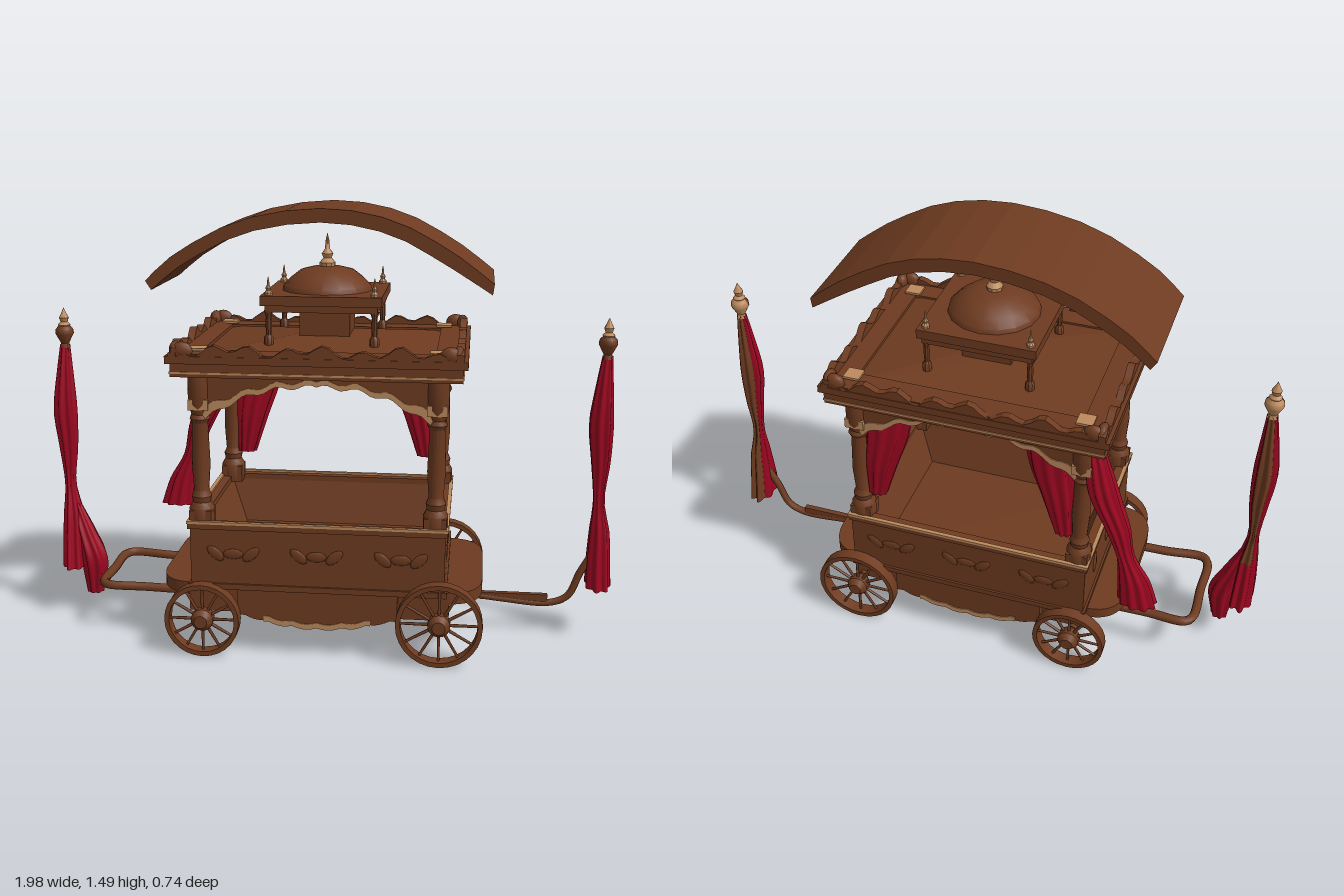
import * as THREE from 'three';
import { toCreasedNormals } from 'three/addons/utils/BufferGeometryUtils.js';

const wood = new THREE.MeshStandardMaterial({ color: 0x6e3b20, side: THREE.DoubleSide });
wood.name = 'brown wood';
const cloth = new THREE.MeshStandardMaterial({ color: 0x9b0620, side: THREE.DoubleSide });
cloth.name = 'red cloth';
const gilt = new THREE.MeshStandardMaterial({ color: 0xbd8a5c });
gilt.name = 'tan trim';

export function createModel() {
  const root = new THREE.Group();
  root.name = 'carriage';

  function add(name, geo, mat, x = 0, y = 0, z = 0, parent = root) {
    const m = new THREE.Mesh(geo, mat);
    m.name = name;
    m.position.set(x, y, z);
    parent.add(m);
    return m;
  }
  const box = (name, w, h, d, x, y, z, mat = wood) => add(name, new THREE.BoxGeometry(w, h, d), mat, x, y, z);
  const lathe = (pts, seg = 16, start = 0, sweep = Math.PI * 2) =>
    toCreasedNormals(new THREE.LatheGeometry(pts.map(p => new THREE.Vector2(...p)), seg, start, sweep), 0.6);
  const tube = (pts, r, seg) => new THREE.TubeGeometry(
    new THREE.CatmullRomCurve3(pts.map(p => new THREE.Vector3(...p))), seg, r, 8);

  // Flat board of width w between two height rules, centred on its thickness
  function board(w, top, bottom, depth, n = 40) {
    const pts = [];
    for (let i = 0; i <= n; i++) { const x = w * (i / n - 0.5); pts.push(new THREE.Vector2(x, bottom(x))); }
    for (let i = n; i >= 0; i--) { const x = w * (i / n - 0.5); pts.push(new THREE.Vector2(x, top(x))); }
    return new THREE.ExtrudeGeometry(new THREE.Shape(pts), { depth, bevelEnabled: false })
      .translate(0, 0, -depth / 2);
  }
  // Hollow rectangular frame, lying flat, w by d outside
  function frame(w, d, t, h) {
    const rect = (C, a, b) => new C([[-a, -b], [a, -b], [a, b], [-a, b]].map(p => new THREE.Vector2(...p)));
    const s = rect(THREE.Shape, w / 2, d / 2);
    s.holes.push(rect(THREE.Path, w / 2 - t, d / 2 - t));
    return new THREE.ExtrudeGeometry(s, { depth: h, bevelEnabled: false }).rotateX(-Math.PI / 2);
  }
  // Four-sided sloping sheet between two rectangles with equal proportions
  function slopedSheet(top, bottom, h, sx, sz, open) {
    const g = new THREE.CylinderGeometry(top * Math.SQRT1_2, bottom * Math.SQRT1_2, h, 4, 1, open)
      .rotateY(Math.PI / 4).toNonIndexed().scale(sx, 1, sz);
    g.computeVertexNormals();
    return g;
  }
  // Pleated cloth through sections [x, y, z, halfWidthX, halfWidthZ]
  function drape(rows, a0 = 0, a1 = Math.PI * 2, pleats = 7) {
    const centre = new THREE.CatmullRomCurve3(rows.map(r => new THREE.Vector3(r[0], r[1], r[2])));
    const size = new THREE.CatmullRomCurve3(rows.map(r => new THREE.Vector3(r[3], r[4], 0)));
    const pos = [], idx = [], N = 20, M = 42;
    for (let i = 0; i <= N; i++) {
      const c = centre.getPoint(i / N), s = size.getPoint(i / N);
      for (let j = 0; j <= M; j++) {
        const a = a0 + (a1 - a0) * j / M, k = 0.88 + 0.12 * Math.cos(a * pleats);
        pos.push(c.x + Math.cos(a) * s.x * k, c.y, c.z + Math.sin(a) * s.y * k);
        const p = i * (M + 1) + j;
        if (i < N && j < M) idx.push(p, p + 1, p + M + 1, p + 1, p + M + 2, p + M + 1);
      }
    }
    const g = new THREE.BufferGeometry();
    g.setAttribute('position', new THREE.Float32BufferAttribute(pos, 3));
    g.setIndex(idx);
    g.computeVertexNormals();
    return g;
  }

  // Tub: open box with sloping lining, rim, floor and shallow carving
  add('tubWalls', frame(0.85, 0.63, 0.02, 0.23), wood, 0, 0.235, 0);
  add('tubLining', slopedSheet(1, 0.84, 0.165, 0.8, 0.58, true), wood, 0, 0.375, 0);
  add('tubRim', frame(0.865, 0.645, 0.04, 0.02), wood, 0, 0.445, 0);
  add('rimTrim', frame(0.87, 0.65, 0.014, 0.009), gilt, 0, 0.463, 0);
  add('tubFoot', frame(0.865, 0.645, 0.03, 0.02), wood, 0, 0.235, 0);
  box('tubFloor', 0.81, 0.05, 0.59, 0, 0.268, 0);
  const leaf = new THREE.SphereGeometry(1, 8, 6);
  for (const s of [-1, 1]) {
    for (const x of [-0.28, 0, 0.28]) for (let k = -1; k <= 1; k++) {
      const m = add('carvedLeaf', leaf, wood, x + k * 0.06, 0.36, s * 0.315);
      m.scale.set(0.035, 0.018, 0.005);
      m.rotation.z = k * 0.7;
    }
    for (const z of [-0.17, 0, 0.17]) {
      add('carvedLeaf', leaf, wood, s * 0.425, 0.36, z).scale.set(0.005, 0.045, 0.025);
    }
  }

  // Chassis: rounded running board above a narrower slab
  const deck = new THREE.Shape();
  deck.moveTo(-0.42, -0.28).lineTo(0.42, -0.28).quadraticCurveTo(0.55, -0.28, 0.55, -0.13)
    .lineTo(0.55, 0.13).quadraticCurveTo(0.55, 0.28, 0.42, 0.28)
    .lineTo(-0.42, 0.28).quadraticCurveTo(-0.55, 0.28, -0.55, 0.13)
    .lineTo(-0.55, -0.13).quadraticCurveTo(-0.55, -0.28, -0.42, -0.28);
  add('runningBoard', new THREE.ExtrudeGeometry(deck, { depth: 0.04, bevelEnabled: false })
    .rotateX(-Math.PI / 2), wood, 0, 0.2, 0);
  box('chassis', 0.88, 0.06, 0.56, 0, 0.17, 0);
  const skirtEdge = x => 0.145 - 0.035 * Math.cos(Math.min(1, Math.abs(x) / 0.25) * Math.PI / 2)
    - 0.008 * Math.abs(Math.sin(x * 38));
  for (const s of [-1, 1]) {
    add('sideSkirt', board(0.54, () => 0.24, skirtEdge, 0.03), wood, 0, 0, s * 0.295);
    add('skirtTrim', board(0.36, x => skirtEdge(x) + 0.016, x => skirtEdge(x) - 0.003, 0.036), gilt, 0, 0, s * 0.295);
  }

  // Wheels, larger at +x, with axles
  for (const [x, r] of [[-0.385, 0.127], [0.41, 0.144]]) {
    add('axle', new THREE.CylinderGeometry(0.016, 0.016, 0.64, 10).rotateX(Math.PI / 2), wood, x, r + 0.005, 0);
    for (const s of [-1, 1]) {
      const wheel = new THREE.Group();
      wheel.name = 'wheel';
      wheel.position.set(x, r + 0.005, s * 0.335);
      root.add(wheel);
      add('rim', lathe([[r - 0.016, -0.022], [r, -0.022], [r, 0.022], [r - 0.016, 0.022], [r - 0.016, -0.022]], 28)
        .rotateX(Math.PI / 2), wood, 0, 0, 0, wheel);
      add('hub', lathe([[0, -0.035], [0.022, -0.035], [0.038, -0.015], [0.038, 0.015], [0.022, 0.035], [0, 0.035]], 14)
        .rotateX(Math.PI / 2), wood, 0, 0, 0, wheel);
      for (let i = 0; i < 12; i++) {
        add('spoke', new THREE.CylinderGeometry(0.0045, 0.006, r - 0.02, 6).translate(0, (r - 0.01) / 2, 0),
          wood, 0, 0, 0, wheel).rotation.z = i * Math.PI / 6;
      }
    }
  }

  // Corner posts with base blocks and capitals
  const post = lathe([[0, 0.46], [0.042, 0.46], [0.042, 0.51], [0.03, 0.53], [0.034, 0.55], [0.025, 0.57],
    [0.031, 0.66], [0.026, 0.8], [0.034, 0.815], [0.028, 0.83], [0.038, 0.87], [0.038, 0.97], [0, 0.97]], 14);
  for (const x of [-0.39, 0.39]) for (const z of [-0.275, 0.275]) {
    add('post', post, wood, x, 0, z);
    box('capital', 0.066, 0.035, 0.066, x, 0.865, z, gilt);
    box('cornerBlock', 0.075, 0.06, 0.075, x, 0.475, z);
    box('roofCornerPlate', 0.055, 0.008, 0.055, x, 1.048, z, gilt);
  }

  // Canopy: cornice, low hipped roof, crest and arched valances
  add('cornice', frame(0.94, 0.69, 0.09, 0.075), wood, 0, 0.965, 0);
  add('corniceLip', frame(0.97, 0.71, 0.04, 0.025), wood, 0, 1.01, 0);
  add('lowerTrim', frame(0.946, 0.696, 0.01, 0.006), gilt, 0, 0.976, 0);
  add('hipRoof', slopedSheet(0.14, 1, 0.05, 0.9, 0.66, false), wood, 0, 1.045, 0);
  const crest = x => 1.055 + 0.014 * Math.sin(x * 52) + 0.009 * Math.cos(x * 23);
  for (const [w, off, turn] of [[0.8, 0.275, 0], [0.58, 0.395, Math.PI / 2]]) {
    const h = w / 2 - 0.02;
    const arch = x => 0.935 - 0.125 * Math.pow(Math.min(1, Math.abs(x) / h), 2.4)
      + 0.008 * Math.sin(Math.abs(x) * 60);
    const band = x => arch(x) + 0.014 + 0.03 * Math.pow(Math.min(1, Math.abs(x) / h), 5);
    for (const s of [0, Math.PI]) {
      const side = new THREE.Group();
      side.name = 'canopySide';
      side.rotation.y = turn + s;
      root.add(side);
      add('valance', board(w, () => 0.975, arch, 0.03), wood, 0, 0, off + 0.005, side);
      add('valanceTrim', board(w - 0.04, band, x => arch(x) - 0.003, 0.037), gilt, 0, 0, off + 0.005, side);
      add('crest', board(w + 0.13, crest, () => 1.02, 0.025), wood, 0, 0, off + 0.065, side);
      for (const e of [-1, 1]) {
        const m = add('crestScroll', new THREE.SphereGeometry(1, 10, 8), wood, e * (w / 2 + 0.03), 1.05, off + 0.06, side);
        m.scale.set(0.035, 0.03, 0.02);
      }
    }
  }

  // Lantern with small posts, slab, dome and finials
  box('lanternCore', 0.17, 0.12, 0.17, 0, 1.1, 0);
  box('lanternSlab', 0.37, 0.025, 0.37, 0, 1.168, 0);
  box('lanternCornice', 0.4, 0.032, 0.39, 0, 1.194, 0);
  add('dome', lathe([[0.155, 1.205], [0.15, 1.225], [0.125, 1.25], [0.09, 1.277], [0.05, 1.287], [0, 1.29]], 16), wood);
  const spire = [[0, 0], [0.026, 0], [0.028, 0.015], [0.014, 0.03], [0.02, 0.045], [0.009, 0.06], [0.006, 0.09], [0, 0.115]];
  add('domeFinial', lathe(spire, 10), gilt, 0, 1.286, 0);
  for (const x of [-0.175, 0.175]) for (const z of [-0.17, 0.17]) {
    add('lanternPost', lathe([[0.016, 1.04], [0.016, 1.07], [0.009, 1.08], [0.011, 1.12], [0.009, 1.14], [0.016, 1.16]], 8), wood, x, 0, z);
    add('cornerFinial', lathe(spire.map(p => [p[0] * 0.5, p[1] * 0.55]), 8), gilt, x, 1.21, z);
  }

  // Curved upper roof
  const spline = a => new THREE.SplineCurve(a.map(p => new THREE.Vector2(...p))).getPoints(14);
  const upper = spline([[-0.58, 1.255], [-0.47, 1.35], [-0.26, 1.455], [0, 1.495], [0.23, 1.46], [0.425, 1.36], [0.56, 1.26]]);
  const lower = spline([[0.555, 1.225], [0.4, 1.322], [0.22, 1.415], [0, 1.45], [-0.25, 1.412], [-0.45, 1.312], [-0.56, 1.225]]);
  add('archedRoof', new THREE.ExtrudeGeometry(new THREE.Shape([...upper, ...lower]),
    { depth: 0.4, bevelEnabled: false }), wood, 0, 0, -0.2);

  // Pull frame at -x and curved tow bar at +x
  add('pullFrame', tube([[-0.45, 0.165, 0.165], [-0.62, 0.17, 0.165], [-0.76, 0.175, 0.17], [-0.782, 0.175, 0.14], [-0.782, 0.175, 0],
    [-0.782, 0.175, -0.14], [-0.76, 0.175, -0.17], [-0.62, 0.17, -0.165], [-0.45, 0.165, -0.165]], 0.016, 60), wood);
  add('towBar', tube([[0.45, 0.14, 0], [0.62, 0.12, 0], [0.79, 0.112, 0], [0.85, 0.14, 0], [0.89, 0.23, 0], [0.94, 0.32, 0]], 0.013, 40), wood);
  box('towPlate', 0.24, 0.025, 0.02, 0.66, 0.13, 0);

  // Standing poles wrapped in cloth, bare wood along the back
  const PI = Math.PI;
  const knob = [[0, 0], [0.018, 0], [0.014, 0.015], [0.032, 0.05], [0.03, 0.065], [0.012, 0.085]];
  for (const [x, bareRows] of [[-0.93, 6], [0.945, 8]]) {
    const rows = [[x, 1.0, 0, 0.018, 0.016], [x - 0.005, 0.9, 0, 0.03, 0.03], [x - 0.01, 0.76, 0, 0.043, 0.042],
      [x - 0.005, 0.63, 0, 0.034, 0.033], [x - 0.005, 0.5, 0, 0.02, 0.024], [x + 0.002, 0.38, 0, 0.036, 0.048],
      [x + 0.003, 0.27, 0, 0.043, 0.068], [x + 0.005, 0.185, 0, 0.046, 0.085]];
    add('poleCloth', drape(rows, -0.3 * PI, 1.28 * PI), cloth);
    add('poleBack', drape(rows.slice(0, bareRows), 1.28 * PI, 1.7 * PI), wood);
    if (bareRows < rows.length) add('poleClothBack', drape(rows.slice(bareRows - 1), 1.28 * PI, 1.7 * PI), cloth);
    add('pole', new THREE.CylinderGeometry(0.013, 0.013, 0.75, 8), wood, x, 0.635, 0);
    add('poleKnobFront', lathe(knob, 8, -PI / 2, PI), wood, x, 0.99, 0);
    add('poleKnobBack', lathe(knob, 8, PI / 2, PI), gilt, x, 0.99, 0);
    add('poleTip', lathe([[0.016, 0.07], [0.022, 0.08], [0.012, 0.09], [0.017, 0.105], [0.009, 0.12], [0, 0.14]], 10), gilt, x, 0.99, 0);
  }
  add('clothTail', drape([[-0.92, 0.42, 0, 0.018, 0.02], [-0.885, 0.31, 0, 0.035, 0.045],
    [-0.858, 0.21, 0, 0.048, 0.055], [-0.86, 0.08, 0, 0.03, 0.03]]), cloth);

  // Tied curtains at the back of the canopy
  for (const s of [-1, 1]) {
    add('innerCurtain', drape([[s * 0.28, 0.92, -0.27, 0.09, 0.02], [s * 0.29, 0.82, -0.27, 0.08, 0.03],
      [s * 0.315, 0.7, -0.27, 0.062, 0.035], [s * 0.335, 0.56, -0.27, 0.035, 0.025]], 0, PI * 2, 9), cloth);
  }
  add('outerCurtain', drape([[-0.425, 0.93, -0.27, 0.035, 0.03], [-0.46, 0.78, -0.28, 0.055, 0.045], [-0.515, 0.65, -0.285, 0.045, 0.04],
    [-0.55, 0.54, -0.29, 0.032, 0.03], [-0.585, 0.44, -0.29, 0.055, 0.04], [-0.605, 0.34, -0.29, 0.07, 0.05]], 0, PI * 2, 9), cloth);

  return root;
}
